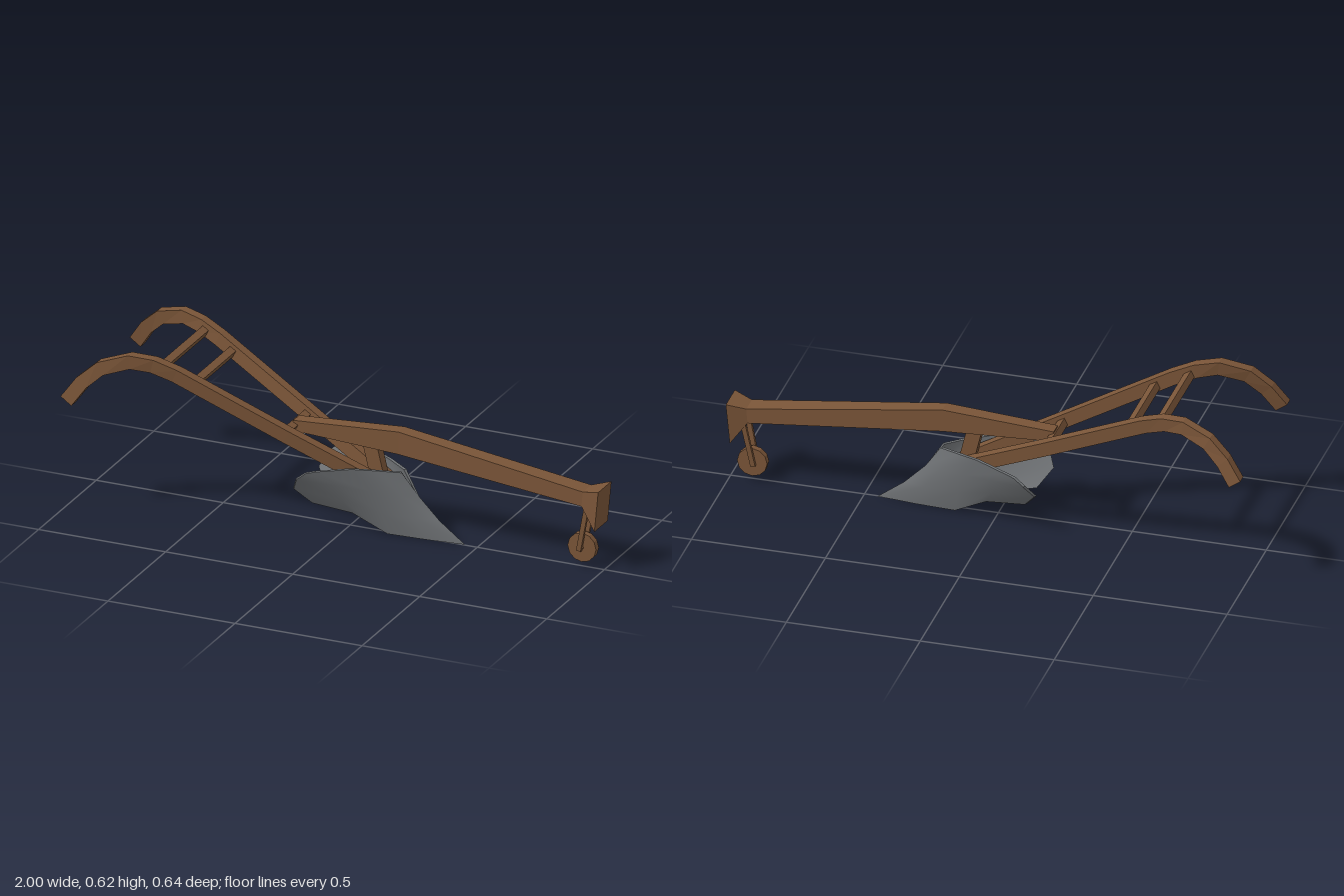
import * as THREE from 'three';

const CZ = -0.004; // lateral centre line

// Skin a list of four-cornered rings into a closed, hard-edged solid.
function loft(name, rings, material) {
  const out = [];
  const tri = (...pts) => pts.forEach((p) => out.push(p[0], p[1], p[2]));
  const quad = (a, b, c, d) => { tri(a, b, c); tri(a, c, d); };
  for (let i = 0; i < rings.length - 1; i++) {
    const a = rings[i], b = rings[i + 1];
    for (let j = 0; j < 4; j++) {
      const k = (j + 1) % 4;
      quad(a[j], b[j], b[k], a[k]);
    }
  }
  const s = rings[0], e = rings[rings.length - 1];
  quad(s[0], s[1], s[2], s[3]);
  quad(e[3], e[2], e[1], e[0]);
  return solid(name, out, material);
}

function solid(name, positions, material, index) {
  const geo = new THREE.BufferGeometry();
  geo.setAttribute('position', new THREE.Float32BufferAttribute(positions, 3));
  if (index) geo.setIndex(index);
  geo.computeVertexNormals();
  const mesh = new THREE.Mesh(geo, material);
  mesh.name = name;
  return mesh;
}

// Sweep a rectangular bar along a path; height lies in the xy plane.
function bar(name, path, height, width, material) {
  const rings = path.map((p, i) => {
    const a = path[Math.max(i - 1, 0)], b = path[Math.min(i + 1, path.length - 1)];
    const dx = b[0] - a[0], dy = b[1] - a[1], len = Math.hypot(dx, dy);
    const nx = (-dy / len) * height / 2, ny = (dx / len) * height / 2, w = width / 2;
    const [x, y, z] = p;
    return [
      [x + nx, y + ny, z + w], [x + nx, y + ny, z - w],
      [x - nx, y - ny, z - w], [x - nx, y - ny, z + w],
    ];
  });
  return loft(name, rings, material);
}

// Curved plough board: outer and inner skins joined by a thin rim.
function board(name, side, material) {
  const rows = [
    [[0.45, 0, 0], [0.30, 0, 0.016], [0.155, 0, 0.024], [0.03, 0.07, 0.052], [-0.12, 0.09, 0.07]],
    [[0.35, 0.075, 0], [0.27, 0.08, 0.025], [0.14, 0.085, 0.042], [0, 0.125, 0.078], [-0.17, 0.155, 0.12]],
    [[0.27, 0.155, 0], [0.21, 0.165, 0.032], [0.11, 0.17, 0.062], [0, 0.19, 0.108], [-0.14, 0.213, 0.163]],
    [[0.21, 0.245, 0.02], [0.13, 0.256, 0.066], [0.05, 0.262, 0.103], [-0.07, 0.25, 0.152], [-0.105, 0.24, 0.158]],
  ];
  const R = rows.length, C = rows[0].length;
  const pos = [], index = [];
  const put = ([x, y, z]) => pos.push(x, y, CZ + side * z) / 3 - 1;
  const tri = (a, b, c) => (side > 0 ? index.push(a, b, c) : index.push(a, c, b));
  const quad = (a, b, c, d) => { tri(a, b, c); tri(a, c, d); };
  const inset = ([x, y, z]) => [x - 0.006, y, Math.max(z - 0.01, 0)];
  const outer = rows.map((r) => r.map(put));
  const inner = rows.map((r) => r.map((p) => put(inset(p))));
  for (let r = 0; r < R - 1; r++) {
    for (let c = 0; c < C - 1; c++) {
      quad(outer[r][c], outer[r + 1][c], outer[r + 1][c + 1], outer[r][c + 1]);
      quad(inner[r][c], inner[r][c + 1], inner[r + 1][c + 1], inner[r + 1][c]);
    }
  }
  // Rim follows the border: shin, top, rear, bottom
  const border = [];
  for (let r = 0; r < R - 1; r++) border.push([r, 0]);
  for (let c = 0; c < C - 1; c++) border.push([R - 1, c]);
  for (let r = R - 1; r > 0; r--) border.push([r, C - 1]);
  for (let c = C - 1; c > 0; c--) border.push([0, c]);
  border.forEach(([r, c], i) => {
    const [r2, c2] = border[(i + 1) % border.length];
    const p = rows[r][c], q = rows[r2][c2];
    quad(put(q), put(p), put(inset(p)), put(inset(q)));
  });
  return solid(name, pos, material, index);
}

export function createModel() {
  const model = new THREE.Group();
  model.name = 'plough';
  const wood = new THREE.MeshStandardMaterial({ color: 0x7a5538 });
  wood.name = 'wood';
  const iron = new THREE.MeshStandardMaterial({ color: 0x6f7275 });
  iron.name = 'iron';

  // Main beam with flared head: x top, top, x bottom, bottom, half width
  const beam = [
    [-0.215, 0.378, -0.215, 0.338, 0.026],
    [0.2, 0.405, 0.2, 0.318, 0.028],
    [0.93, 0.302, 0.925, 0.245, 0.037],
    [1.0, 0.32, 0.985, 0.164, 0.058],
  ].map(([xt, t, xb, b, w]) => [
    [xt, t, CZ + w], [xt, t, CZ - w], [xb, b, CZ - w], [xb, b, CZ + w],
  ]);
  model.add(loft('beam', beam, wood));

  // Curved handles
  const handlePath = [
    [-0.976, 0.433, 0.3], [-0.925, 0.505, 0.282], [-0.86, 0.563, 0.262],
    [-0.76, 0.594, 0.232], [-0.68, 0.583, 0.208], [-0.6, 0.552, 0.188],
    [-0.2, 0.352, 0.104], [0.14, 0.185, 0.028],
  ];
  for (const side of [1, -1]) {
    const label = side > 0 ? 'front' : 'rear';
    const path = handlePath.map(([x, y, z]) => [x, y, CZ + side * z]);
    model.add(bar(label + 'Handle', path, 0.052, 0.04, wood));
    model.add(board(label + 'Mouldboard', side, iron));
    // Wheel fork arm
    model.add(bar(label + 'ForkArm', [
      [0.908, 0.065, CZ + side * 0.022], [0.946, 0.255, CZ + side * 0.032],
    ], 0.018, 0.013, wood));
  }

  // Rungs between the handles
  [[-0.66, 0.568, 0.37], [-0.54, 0.519, 0.32], [-0.215, 0.356, 0.2]].forEach(([x, y, length], i) => {
    const rung = new THREE.Mesh(new THREE.BoxGeometry(0.028, 0.028, length), wood);
    rung.position.set(x, y, CZ);
    rung.rotation.z = -0.46;
    rung.name = 'rung' + (i + 1);
    model.add(rung);
  });

  // Shank joining the beam to the boards
  model.add(bar('shank', [[0.135, 0.12, CZ], [0.08, 0.35, CZ]], 0.055, 0.04, wood));

  // Guide wheel and axle
  const disc = (name, radius, width, sides) => {
    const geo = new THREE.CylinderGeometry(radius, radius, width, sides).toNonIndexed();
    geo.computeVertexNormals();
    const mesh = new THREE.Mesh(geo, wood);
    mesh.rotation.x = Math.PI / 2;
    mesh.position.set(0.915, 0.075, CZ);
    mesh.name = name;
    model.add(mesh);
  };
  disc('wheel', 0.056, 0.025, 12);
  disc('axle', 0.007, 0.05, 8);

  return model;
}
